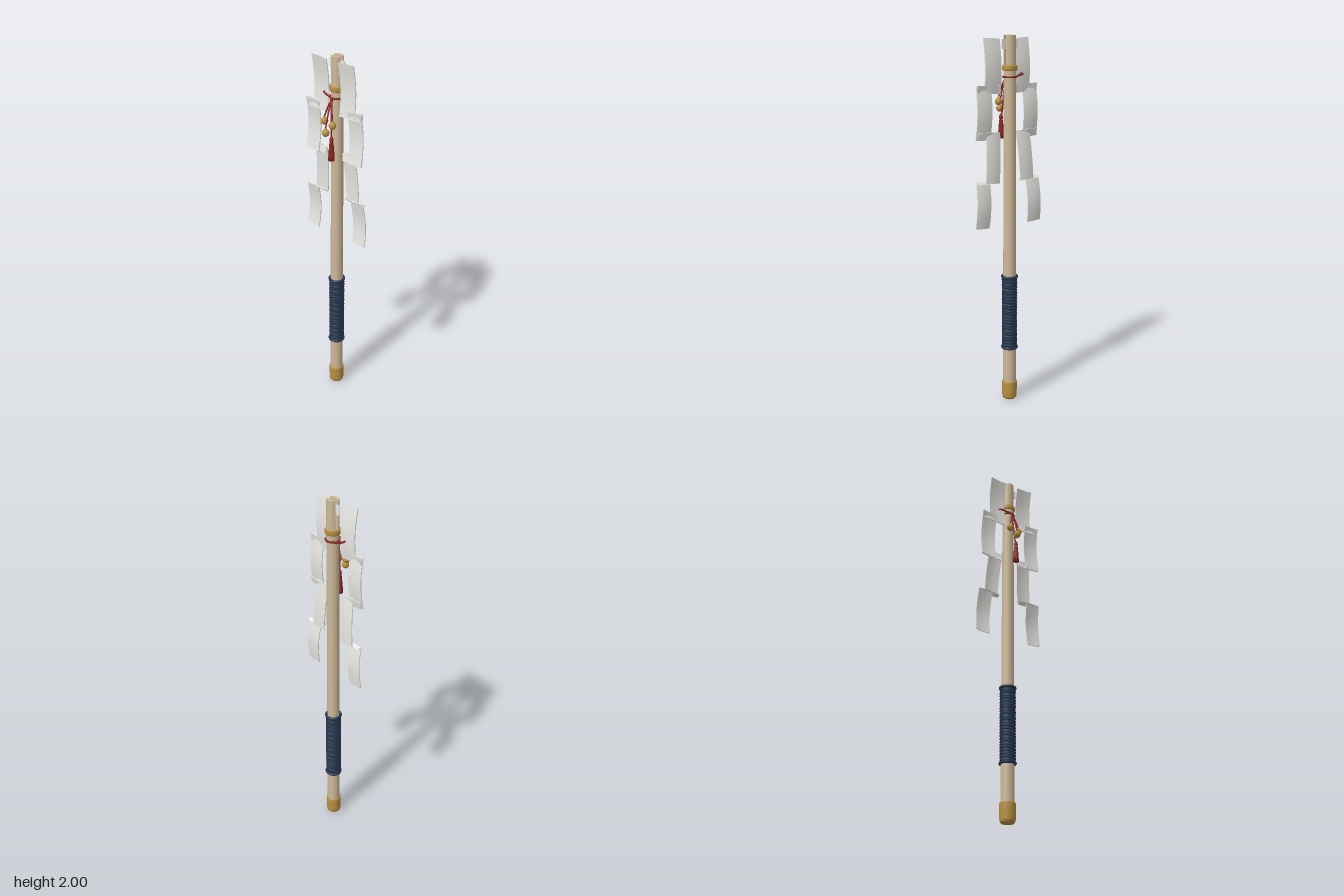
import * as THREE from 'three';

const V = (x, y, z) => new THREE.Vector3(x, y, z);

export function createModel() {
  const root = new THREE.Group();
  root.name = 'ceremonialWand';
  const mat = (name, color) => {
    const m = new THREE.MeshStandardMaterial({ color });
    m.name = name;
    return m;
  };
  const wood = mat('pale wood', 0xcdb99a);
  const gold = mat('brass', 0xb88f42);
  const navy = mat('navy cord', 0x26344f);
  const red = mat('red cord', 0x8c2626);
  const white = mat('white paper', 0xecebe6);

  const add = (parent, name, geometry, material, x = 0, y = 0, z = 0) => {
    const m = new THREE.Mesh(geometry, material);
    m.name = name;
    m.position.set(x, y, z);
    parent.add(m);
    return m;
  };
  const faceted = (g) => {
    const f = g.toNonIndexed();
    f.computeVertexNormals();
    return f;
  };
  const lathe = (pts, n = 20) =>
    new THREE.LatheGeometry(pts.map(([r, y]) => new THREE.Vector2(r, y)), n);
  const tube = (pts, r, n = 16, closed = false) =>
    new THREE.TubeGeometry(new THREE.CatmullRomCurve3(pts, closed), n, r, 6, closed);

  // Everything round the staff's own axis
  const staff = new THREE.Group();
  staff.name = 'staff';
  staff.position.z = -0.03;
  root.add(staff);

  add(staff, 'pole', new THREE.CylinderGeometry(0.032, 0.036, 1.79, 20), wood, 0, 0.945, 0);

  // Two prongs leave a slit for the paper
  const a = Math.asin(0.009 / 0.032);
  const half = new THREE.Shape();
  half.absarc(0, 0, 0.032, a, Math.PI - a, false);
  half.closePath();
  const prongGeo = new THREE.ExtrudeGeometry(half, { depth: 0.162, bevelEnabled: false, curveSegments: 10 });
  prongGeo.rotateX(Math.PI / 2);
  for (const [name, turn] of [['frontProng', 0], ['backProng', Math.PI]]) {
    add(staff, name, prongGeo, wood, 0, 2, 0).rotation.y = turn;
  }

  // End cap with a rounded foot
  const cap = lathe([[0, 0], [0.033, 0], [0.039, 0.008], [0.041, 0.02], [0.042, 0.098], [0.039, 0.104], [0.034, 0.104]]);
  add(staff, 'endCap', cap, gold);

  // Collar below the slit
  const collar = lathe([[0.03, 1.822], [0.037, 1.822], [0.04, 1.827], [0.04, 1.845], [0.037, 1.85], [0.03, 1.85]]);
  add(staff, 'collar', collar, gold);

  // Grip: core, wound cord and a thicker ring at each end
  add(staff, 'gripCore', new THREE.CylinderGeometry(0.0395, 0.0395, 0.41, 20), navy, 0, 0.51, 0);
  class Helix extends THREE.Curve {
    getPoint(t) {
      const w = t * 24 * Math.PI * 2;
      return V(Math.cos(w) * 0.037, 0.31 + t * 0.4, Math.sin(w) * 0.037);
    }
  }
  add(staff, 'gripWinding', new THREE.TubeGeometry(new Helix(), 384, 0.0065, 6), navy);
  for (const y of [0.305, 0.715]) {
    const ring = add(staff, 'gripEndRing', new THREE.TorusGeometry(0.04, 0.0075, 8, 20), navy, 0, y, 0);
    ring.rotation.x = Math.PI / 2;
  }

  // Paper strip held in the slit
  add(staff, 'paperBridge', new THREE.BoxGeometry(0.1, 0.05, 0.005), white, 0, 1.955, 0);

  // Curved paper sheet: centre x, height and z run from top to bottom
  const sheet = (side, name, [xTop, xBot], width, [yTop, yBot], [zTop, zBot], belly, bow) => {
    const g = new THREE.BoxGeometry(1, 1, 0.005, 4, 8, 1);
    const p = g.attributes.position;
    for (let i = 0; i < p.count; i++) {
      const u = p.getX(i), t = 0.5 - p.getY(i);
      const x = side * THREE.MathUtils.lerp(xTop, xBot, t) + u * width;
      const y = THREE.MathUtils.lerp(yTop, yBot, t) + side * u * 0.006;
      const z = THREE.MathUtils.lerp(zTop, zBot, t) + belly * Math.sin(Math.PI * t) + bow * (1 - 4 * u * u);
      p.setXYZ(i, x, y, z + p.getZ(i));
    }
    g.computeVertexNormals();
    return [name, g];
  };
  for (const side of [1, -1]) {
    const streamer = new THREE.Group();
    streamer.name = side > 0 ? 'leftStreamer' : 'rightStreamer';
    root.add(streamer);
    const parts = [
      sheet(side, 'paperFirst', [0.09, 0.09], 0.1, [1.985, 1.705], [0.006, -0.004], -0.014, -0.004),
      sheet(side, 'foldFirst', [0.117, 0.117], 0.14, [1.748, 1.705], [-0.014, -0.008], 0, 0.004),
      sheet(side, 'paperSecond', [0.143, 0.148], 0.09, [1.748, 1.468], [0, 0], -0.016, -0.004),
      sheet(side, 'foldSecond', [0.122, 0.124], 0.13, [1.508, 1.468], [-0.016, -0.008], 0, -0.006),
      sheet(side, 'paperThird', [0.094, 0.11], 0.085, [1.508, 1.242], [-0.014, -0.034], -0.006, -0.005),
      sheet(side, 'foldThird', [0.132, 0.132], 0.13, [1.252, 1.24], [-0.018, -0.03], 0, 0.004),
      sheet(side, 'paperFourth', [0.157, 0.167], 0.085, [1.248, 1.003], [-0.014, -0.02], -0.014, -0.004),
    ];
    for (const [name, g] of parts) add(streamer, name, g, white);
  }

  // Red cord round the staff, with a loose bow on one side and a knot in front
  const band = add(staff, 'cordRing', new THREE.TorusGeometry(0.036, 0.005, 6, 20), red, 0, 1.79, 0);
  band.rotation.x = Math.PI / 2;
  add(root, 'cordBow', tube([V(-0.025, 1.795, -0.057), V(-0.055, 1.8, -0.06), V(-0.077, 1.803, -0.035),
    V(-0.07, 1.802, -0.008), V(-0.045, 1.797, 0), V(0, 1.788, 0.008)], 0.005, 24), red);
  add(root, 'knot', faceted(new THREE.SphereGeometry(0.01, 8, 6)), red, 0, 1.785, 0.01);

  // Three bells on cords
  const bells = [[-0.028, 1.672, 0.033], [0.027, 1.66, 0.033], [0.003, 1.622, 0.057]];
  for (const [x, y, z] of bells) {
    const bell = new THREE.Group();
    bell.name = 'bell';
    bell.position.set(x, y, z);
    root.add(bell);
    add(bell, 'bellBody', faceted(new THREE.SphereGeometry(0.02, 9, 6)), gold);
    add(bell, 'bellRim', new THREE.CylinderGeometry(0.0205, 0.0205, 0.004, 9), gold);
    add(bell, 'bellNeck', new THREE.CylinderGeometry(0.005, 0.007, 0.01, 8), gold, 0, 0.022, 0);
    add(root, 'bellCord', tube([V(0, 1.785, 0.01), V(x * 0.45, (1.785 + y) / 2 + 0.02, z * 0.5 + 0.006),
      V(x, y + 0.024, z)], 0.004, 10), red);
  }

  // Tassel
  add(root, 'tasselCord', tube([V(0, 1.785, 0.01), V(0.006, 1.69, 0.018), V(0.012, 1.59, 0.026)], 0.0045, 10), red);
  const tassel = lathe([[0, 0], [0.017, 0], [0.016, 0.03], [0.011, 0.09], [0.009, 0.1], [0.011, 0.11], [0.008, 0.126], [0, 0.132]], 10);
  add(root, 'tassel', tassel, red, 0.015, 1.466, 0.028);

  return root;
}
